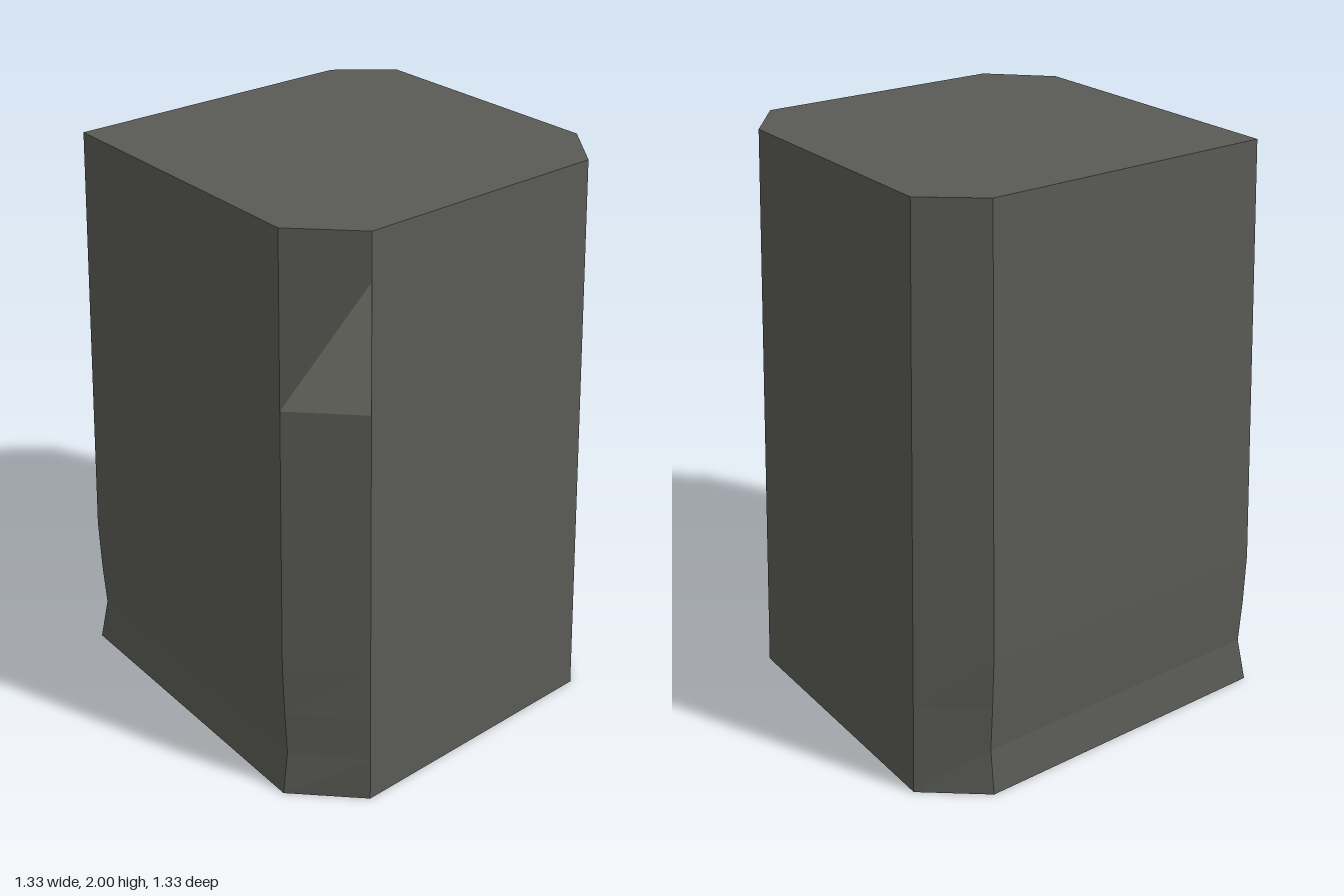
import * as THREE from 'three';

const lerp = THREE.MathUtils.lerp;

// Block outline, counterclockwise from above; three corners are chamfered
const bottom = [[-0.665, 0.665], [0.46, 0.665], [0.665, 0.46], [0.665, -0.5],
  [0.46, -0.665], [-0.5, -0.665], [-0.665, -0.46]];
const top = [[-0.6, 0.6], [0.415, 0.6], [0.6, 0.415], [0.6, -0.455],
  [0.415, -0.6], [-0.455, -0.6], [-0.6, -0.42]];

// Heights of the cross-sections, and how far the front and left faces sink in there
const levels = [[0, 0], [0.16, 0.018], [0.32, 0.008], [0.51, 0], [2, 0]];

function corner(i, y, dent = 0) {
  let [x, z] = bottom[i].map((v, k) => lerp(v, top[i][k], y / 2));
  if (i <= 1) z -= dent;
  if (i === 0 || i === 6) x += dent;
  return new THREE.Vector3(x, y, z);
}

function fromPoints(points) {
  const geometry = new THREE.BufferGeometry().setFromPoints(points);
  geometry.computeVertexNormals();
  return geometry;
}

function part(name, points, color) {
  const material = new THREE.MeshStandardMaterial({ color, flatShading: true });
  const mesh = new THREE.Mesh(fromPoints(points), material);
  mesh.name = name;
  return mesh;
}

export function createModel() {
  const group = new THREE.Group();
  group.name = 'taperedBlock';
  const rings = levels.map(([y, dent]) => bottom.map((_, i) => corner(i, y, dent)));
  const n = bottom.length;

  // Sides
  const body = [];
  for (let r = 0; r < rings.length - 1; r++) {
    for (let i = 0; i < n; i++) {
      const j = (i + 1) % n;
      const [a, b, c, d] = [rings[r][i], rings[r][j], rings[r + 1][j], rings[r + 1][i]];
      body.push(a, b, c, a, c, d);
    }
  }
  // Top and underside
  const lid = rings[rings.length - 1], base = rings[0];
  for (let i = 1; i < n - 1; i++) {
    body.push(lid[0], lid[i], lid[i + 1], base[0], base[i + 1], base[i]);
  }
  group.add(part('block', body, 0x5a5a55));

  // Worn, lighter facet on the front chamfer
  const out = new THREE.Vector3(0.002, 0, 0.002);
  const chip = [corner(1, 1.43), corner(2, 1.43), corner(2, 1.85)].map((p) => p.add(out));
  group.add(part('frontChamferFacet', chip, 0x74746d));

  // Worn patch at the foot of the back chamfer
  const back = new THREE.Vector3(0.002, 0, -0.002);
  const [a, d] = [0, 0.32].map((y) => corner(3, y).add(back));
  const [b, c] = [0, 0.32].map((y) => corner(3, y).lerp(corner(4, y), 0.5).add(back));
  group.add(part('backChamferPatch', [a, b, c, a, c, d], 0x62625c));

  return group;
}
